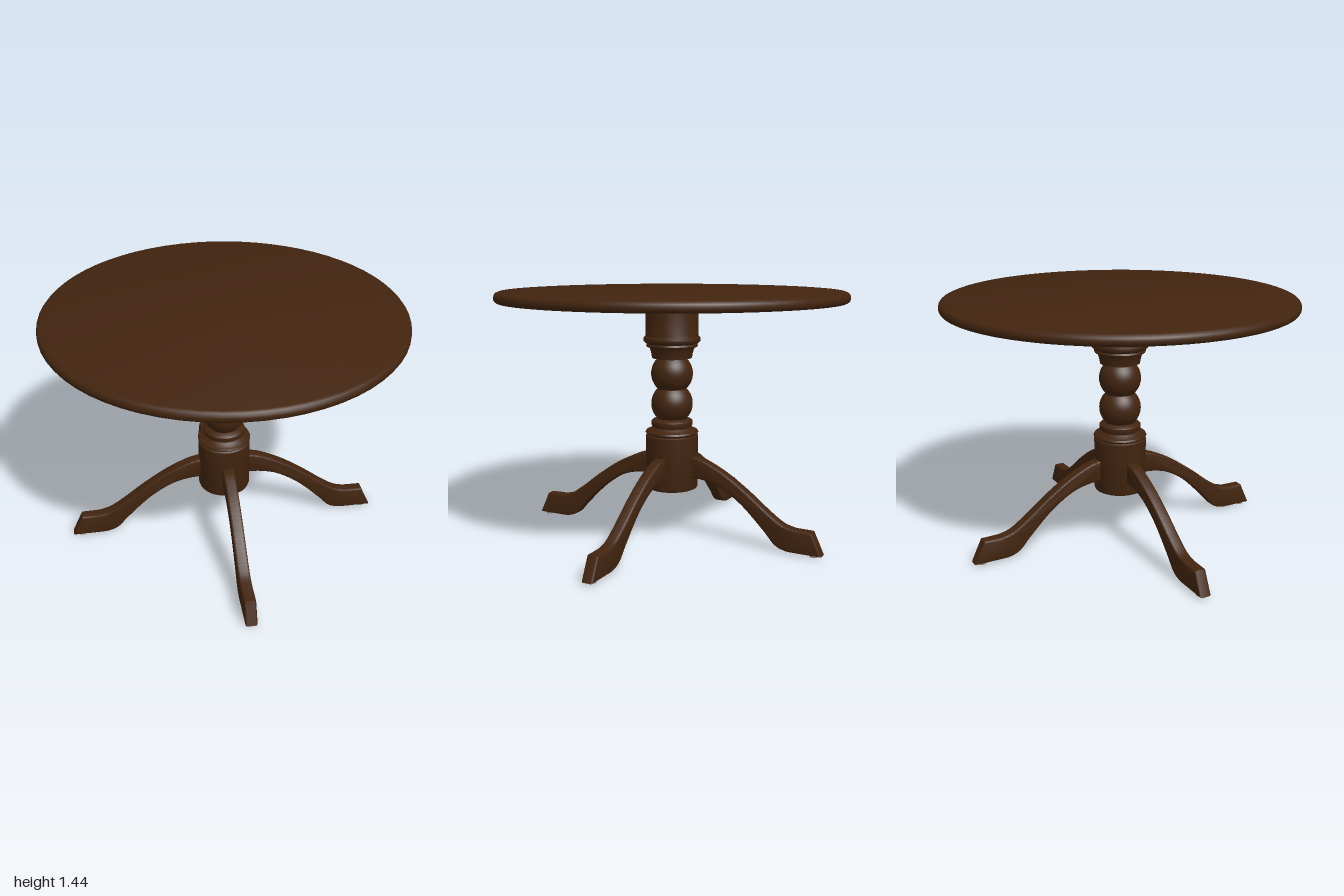
import * as THREE from 'three';
import { toCreasedNormals } from 'three/addons/utils/BufferGeometryUtils.js';

const wood = new THREE.MeshStandardMaterial({ color: 0x42240f });
wood.name = 'dark wood';
const metal = new THREE.MeshStandardMaterial({ color: 0x8a8a8a });
metal.name = 'grey metal';

const LEG_ANGLE = THREE.MathUtils.degToRad(52.3);
const v2 = (pts) => pts.map(([x, y]) => new THREE.Vector2(x, y));

function addMesh(parent, name, geometry, material) {
  const mesh = new THREE.Mesh(geometry, material);
  mesh.name = name;
  parent.add(mesh);
  return mesh;
}

// Turned piece, profile from bottom to top
function turned(points, sides) {
  return toCreasedNormals(new THREE.LatheGeometry(v2(points), sides), 0.6);
}

// Points of a ball between two heights
function ball(centre, radius, halfHeight, steps = 14) {
  const pts = [];
  for (let i = 0; i <= steps; i++) {
    const dy = halfHeight * (2 * i / steps - 1);
    pts.push([Math.sqrt(radius * radius - dy * dy), centre + dy]);
  }
  return pts;
}

// Side outline of the curved leg, swept to a bevelled plank
function legGeometry() {
  const s = new THREE.Shape();
  s.moveTo(0.12, 0.365);
  s.splineThru(v2([[0.22, 0.358], [0.33, 0.325], [0.46, 0.24], [0.59, 0.115], [0.66, 0.04], [0.72, 0.014], [0.77, 0.01]]));
  s.lineTo(0.935, 0.01);
  s.lineTo(0.875, 0.14);
  s.lineTo(0.77, 0.142);
  s.splineThru(v2([[0.7, 0.162], [0.61, 0.222], [0.48, 0.322], [0.35, 0.408], [0.23, 0.467], [0.17, 0.485], [0.12, 0.492]]));
  s.closePath();
  const g = new THREE.ExtrudeGeometry(s, {
    depth: 0.046, steps: 1, curveSegments: 28,
    bevelEnabled: true, bevelThickness: 0.011, bevelSize: 0.011, bevelOffset: -0.011, bevelSegments: 3,
  });
  g.translate(0, 0, -0.023);
  return toCreasedNormals(g, 0.6);
}

export function createModel() {
  const table = new THREE.Group();
  table.name = 'pedestalTable';

  // Round top with a softened rim
  addMesh(table, 'tableTop', turned([
    [0, 1.382], [0.982, 1.382], [0.992, 1.387], [0.999, 1.398], [1, 1.411],
    [0.997, 1.424], [0.989, 1.434], [0.975, 1.44], [0, 1.44],
  ], 64), wood);

  // Mounting plate and spacer under the top
  addMesh(table, 'mountingPlate', turned([[0, 1.345], [0.308, 1.345], [0.308, 1.374], [0, 1.374]], 48), wood);
  addMesh(table, 'plateSpacer', new THREE.CylinderGeometry(0.14, 0.14, 0.012, 32), wood).position.y = 1.378;

  // Turned column
  addMesh(table, 'column', turned([
    [0, 0.287], [0.138, 0.287], [0.148, 0.292], [0.152, 0.303], [0.152, 0.604],
    [0.143, 0.61], [0.148, 0.618], [0.155, 0.622], [0.15, 0.632], [0.13, 0.638],
    [0.12, 0.648], [0.109, 0.654], [0.117, 0.66], [0.121, 0.672], [0.12, 0.688], [0.113, 0.695],
    ...ball(0.79, 0.121, 0.086), ...ball(0.966, 0.121, 0.086),
    [0.115, 1.057], [0.12, 1.085], [0.127, 1.11], [0.132, 1.118], [0.145, 1.122],
    [0.149, 1.13], [0.144, 1.14], [0.155, 1.145], [0.163, 1.155], [0.165, 1.166],
    [0.162, 1.177], [0.154, 1.182], [0.152, 1.19], [0.152, 1.345], [0, 1.345],
  ], 48), wood);

  // Four legs, foot pads and plate screws
  const legShape = legGeometry();
  const padShape = new THREE.CylinderGeometry(0.024, 0.024, 0.012, 20);
  const screwShape = new THREE.CylinderGeometry(0.02, 0.012, 0.014, 16);
  for (let i = 0; i < 4; i++) {
    const legGroup = new THREE.Group();
    legGroup.name = 'legAssembly' + (i + 1);
    legGroup.rotation.y = -LEG_ANGLE + i * Math.PI / 2;
    addMesh(legGroup, 'leg', legShape, wood);
    addMesh(legGroup, 'footPad', padShape, metal).position.set(0.885, 0.006, 0);
    addMesh(legGroup, 'plateScrew', screwShape, metal).position.set(0.245, 1.338, 0);
    table.add(legGroup);
  }
  return table;
}
